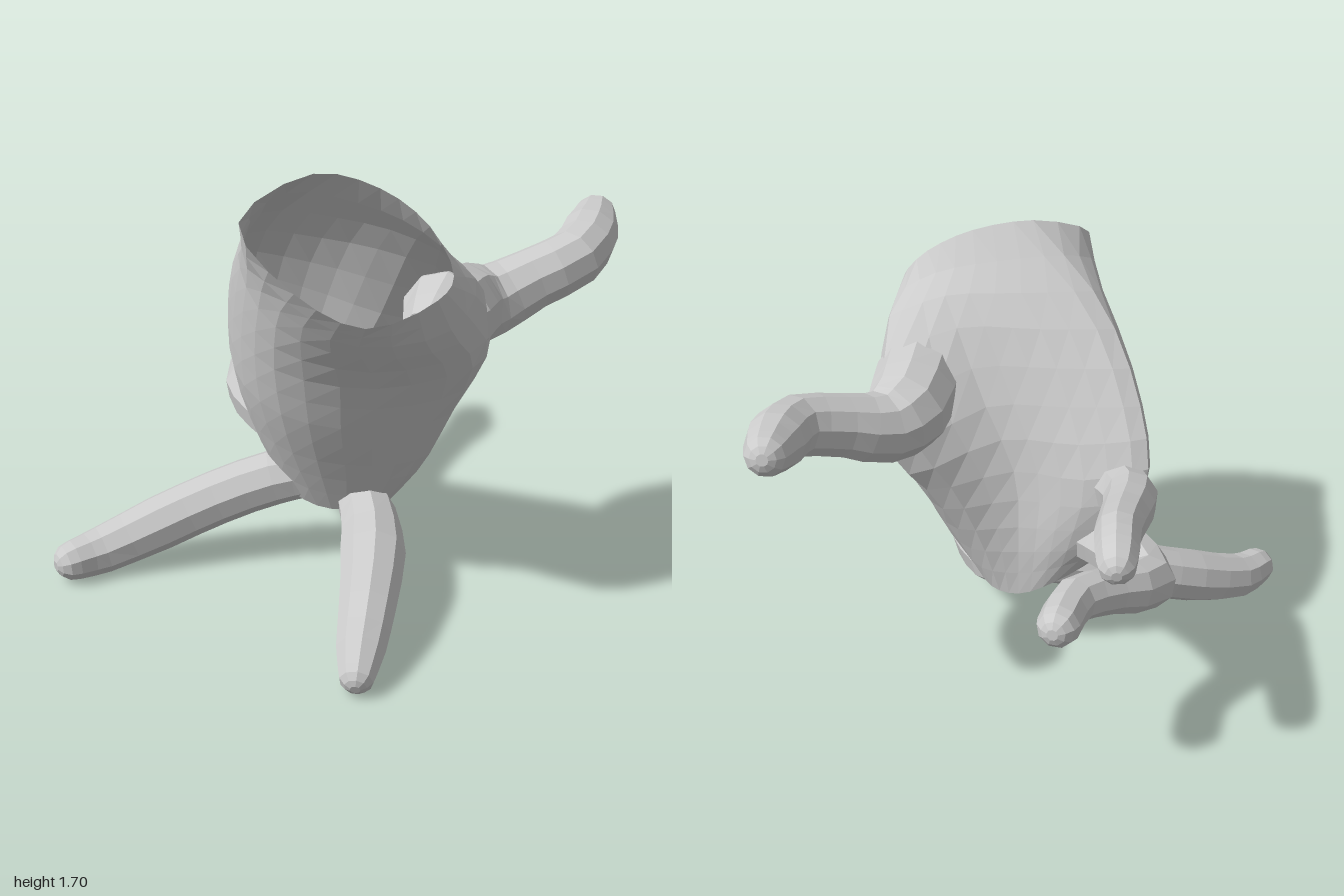
import * as THREE from 'three';

const material = new THREE.MeshStandardMaterial({
  color: 0xcccccc, flatShading: true, side: THREE.DoubleSide,
});
const vec = (p) => new THREE.Vector3(p[0], p[1], p[2]);

// Skin over a list of closed rings; the ends may be closed to their centre
function skin(name, rings, capStart, capEnd) {
  const n = rings[0].length, pos = [], index = [];
  rings.forEach((ring) => ring.forEach((p) => pos.push(p.x, p.y, p.z)));
  for (let i = 0; i < rings.length - 1; i++) {
    for (let j = 0; j < n; j++) {
      const k = (j + 1) % n;
      const a = i * n + j, b = i * n + k, c = b + n, d = a + n;
      index.push(a, b, c, a, c, d);
    }
  }
  const cap = (row, flip) => {
    const mid = new THREE.Vector3();
    rings[row].forEach((p) => mid.addScaledVector(p, 1 / n));
    const m = pos.length / 3;
    pos.push(mid.x, mid.y, mid.z);
    for (let j = 0; j < n; j++) {
      const a = row * n + j, b = row * n + (j + 1) % n;
      if (flip) index.push(b, a, m);
      else index.push(a, b, m);
    }
  };
  if (capStart) cap(0, true);
  if (capEnd) cap(rings.length - 1, false);
  const geometry = new THREE.BufferGeometry();
  geometry.setAttribute('position', new THREE.Float32BufferAttribute(pos, 3));
  geometry.setIndex(index);
  geometry.computeVertexNormals();
  const mesh = new THREE.Mesh(geometry, material);
  mesh.name = name;
  return mesh;
}

// Bent finger: joints are [x, y, z, radius], with a rounded tip
function finger(name, joints, sides = 9) {
  const curve = new THREE.CatmullRomCurve3(joints.map(vec));
  const steps = (joints.length - 1) * 2;
  const rings = [];
  const normal = new THREE.Vector3(0, 1, 0);
  const addRing = (centre, tangent, r) => {
    normal.addScaledVector(tangent, -normal.dot(tangent)).normalize();
    const side = new THREE.Vector3().crossVectors(tangent, normal);
    rings.push(Array.from({ length: sides }, (_, j) => {
      const a = (j / sides) * Math.PI * 2;
      return centre.clone()
        .addScaledVector(normal, r * Math.cos(a))
        .addScaledVector(side, r * Math.sin(a));
    }));
  };
  for (let i = 0; i <= steps; i++) {
    const t = i / steps, u = i / 2, k = Math.min(Math.floor(u), joints.length - 2);
    const r = THREE.MathUtils.lerp(joints[k][3], joints[k + 1][3], u - k);
    addRing(curve.getPoint(t), curve.getTangent(t), r);
  }
  const end = curve.getPoint(1), dir = curve.getTangent(1);
  const r = joints[joints.length - 1][3];
  for (const a of [0.5, 0.95, 1.3]) {
    addRing(end.clone().addScaledVector(dir, r * Math.sin(a)), dir, r * Math.cos(a));
  }
  return skin(name, rings, true, true);
}

// Palm: cross-sections from the open wrist down to the knuckles, each running
// outer side, front, inner side, back, ending at the web of the thumb
function palm() {
  const sections = [
    [[.73, 1.37, .4], [.6, 1.3, .62], [.38, 1.4, .73], [.1, 1.58, .7],
      [.2, 1.71, .43], [.4, 1.67, .31], [.58, 1.56, .26], [.71, 1.42, .29]],
    [[.71, 1.2, .28], [.52, 1.18, .56], [.22, 1.25, .64], [-.06, 1.38, .53],
      [-.14, 1.45, .38], [.1, 1.45, .23], [.4, 1.42, .13], [.63, 1.31, .04]],
    [[.66, 1.02, .1], [.46, .98, .4], [.1, 1, .54], [-.22, 1.08, .42],
      [-.37, 1.17, .25], [-.12, 1.15, .14], [.2, 1.1, .05], [.42, .97, -.27]],
    [[.51, .74, .04], [.36, .72, .3], [.05, .74, .45], [-.28, .8, .36],
      [-.47, .92, .15], [-.25, .85, .05], [.05, .8, .04], [.32, .75, -.16]],
    [[.38, .5, .03], [.27, .48, .2], [.02, .5, .34], [-.22, .55, .31],
      [-.38, .62, .15], [-.2, .58, .03], [.02, .52, .01], [.22, .5, -.06]],
    [[.25, .32, .06], [.18, .29, .15], [.02, .28, .23], [-.14, .34, .25],
      [-.24, .44, .15], [-.13, .36, .05], [.02, .27, .01], [.14, .27, 0]],
  ];
  const columns = sections[0].map((_, j) =>
    new THREE.CatmullRomCurve3(sections.map((s) => vec(s[j]))));
  const rings = [], rows = 12, sides = 24;
  for (let i = 0; i <= rows; i++) {
    const loop = new THREE.CatmullRomCurve3(
      columns.map((c) => c.getPoint(i / rows)), true);
    rings.push(Array.from({ length: sides }, (_, j) => loop.getPoint(j / sides)));
  }
  return skin('palm', rings, false, true);
}

export function createModel() {
  const hand = new THREE.Group();
  hand.name = 'hand';
  hand.add(palm());

  // Thumb, reaching backwards
  hand.add(finger('thumb', [
    [.53, 1.12, .2, .1], [.48, 1.13, .03, .175], [.41, 1.1, -.17, .165],
    [.43, 1.09, -.3, .14], [.51, 1.15, -.45, .12], [.59, 1.21, -.62, .115],
    [.54, 1.25, -.8, .112], [.485, 1.28, -.915, .085],
  ], 10));
  // Index and middle fingers, standing on the ground
  hand.add(finger('indexFinger', [
    [.07, .34, .08, .085], [.22, .29, .16, .11], [.39, .24, .33, .125],
    [.56, .18, .56, .105], [.65, .11, .7, .09], [.7, .075, .775, .07],
  ]));
  hand.add(finger('middleFinger', [
    [-.06, .38, .16, .1], [-.18, .35, .26, .11], [-.34, .27, .42, .11],
    [-.48, .18, .6, .11], [-.6, .1, .8, .095], [-.635, .09, .918, .08],
  ]));
  // Ring and little fingers, curled backwards
  hand.add(finger('ringFinger', [
    [-.2, .57, .17, .12], [-.4, .575, .1, .115], [-.59, .595, -.06, .108],
    [-.54, .67, -.27, .09], [-.49, .72, -.45, .085], [-.53, .745, -.64, .08],
  ]));
  hand.add(finger('littleFinger', [
    [-.34, .82, .16, .11], [-.46, .88, .03, .105], [-.54, .94, -.17, .095],
    [-.61, 1.0, -.36, .086], [-.67, 1.01, -.48, .08], [-.7, 1.005, -.54, .072],
  ]));
  return hand;
}
